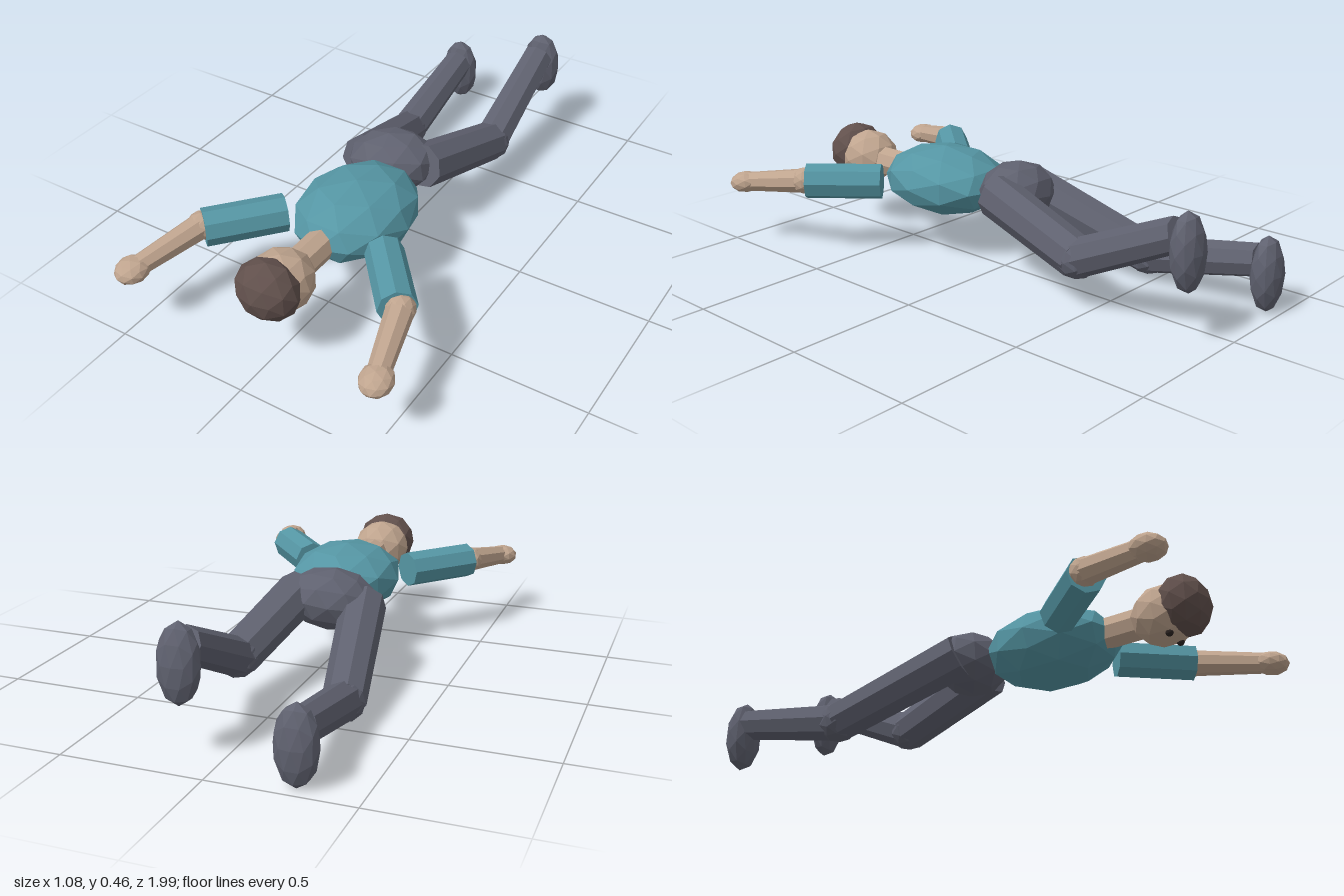
import * as THREE from 'three';

const paint = (name, color) => {
  const m = new THREE.MeshStandardMaterial({ color, flatShading: true });
  m.name = name;
  return m;
};

export function createModel() {
  const teal = paint('teal shirt', 0x5596a4);
  const skin = paint('skin', 0xbfa48e);
  const slate = paint('slate trousers', 0x5f616f);
  const brown = paint('brown hair', 0x61504c);
  const dark = paint('dark eyes', 0x2c2422);

  const root = new THREE.Group();
  root.name = 'lyingFigure';
  const V = (p) => new THREE.Vector3(...p);

  const add = (parent, name, geometry, material) => {
    const mesh = new THREE.Mesh(geometry, material);
    mesh.name = name;
    parent.add(mesh);
    return mesh;
  };

  // Faceted ellipsoid whose long axis of facets follows the body (z)
  const blob = (parent, name, material, pos, radii, rot = [0, 0, 0]) => {
    const g = new THREE.IcosahedronGeometry(1, 1).rotateX(Math.PI / 2).scale(...radii);
    const mesh = add(parent, name, g, material);
    mesh.position.set(...pos);
    mesh.rotation.set(...rot);
    return mesh;
  };

  // Eight-sided tapered cylinder between two points
  const limb = (parent, name, material, from, to, r0, r1) => {
    const a = V(from), b = V(to), dir = b.clone().sub(a);
    const mesh = add(parent, name, new THREE.CylinderGeometry(r1, r0, dir.length(), 8), material);
    mesh.position.copy(a).add(b).multiplyScalar(0.5);
    mesh.quaternion.setFromUnitVectors(new THREE.Vector3(0, 1, 0), dir.normalize());
    return mesh;
  };

  // Trunk
  blob(root, 'torso', teal, [0, 0.285, 0.305], [0.21, 0.13, 0.26]);
  blob(root, 'pelvis', slate, [-0.055, 0.29, -0.015], [0.17, 0.115, 0.135], [0, 0.22, 0.12]);

  // Head, face down
  const head = new THREE.Group();
  head.name = 'head';
  root.add(head);
  limb(head, 'neck', skin, [0, 0.285, 0.5], [0, 0.285, 0.67], 0.057, 0.057);
  blob(head, 'face', skin, [0, 0.288, 0.75], [0.113, 0.108, 0.122]);
  blob(head, 'hair', brown, [0, 0.303, 0.822], [0.118, 0.11, 0.092]);

  for (const s of [1, -1]) {
    const side = s > 0 ? 'left' : 'right';
    blob(head, side + 'Eye', dark, [s * 0.042, 0.196, 0.78], [0.014, 0.014, 0.014]);

    // Arms stretched forward, mirrored
    const arm = new THREE.Group();
    arm.name = side + 'Arm';
    root.add(arm);
    const elbow = [s * 0.402, 0.292, 0.665];
    const wrist = [s * 0.475, 0.254, 0.91];
    limb(arm, 'sleeve', teal, [s * 0.204, 0.288, 0.45], [s * 0.392, 0.288, 0.667], 0.068, 0.068);
    blob(arm, 'elbow', skin, elbow, [0.052, 0.052, 0.052]);
    limb(arm, 'forearm', skin, elbow, wrist, 0.048, 0.038);
    blob(arm, 'hand', skin, [s * 0.483, 0.25, 0.932], [0.058, 0.042, 0.064], [0.14, s * 0.25, 0]);
  }

  // Legs, each in its own pose
  const legs = [
    { side: 'left', hip: [0.07, 0.305, -0.02], knee: [0.13, 0.19, -0.45],
      ankle: [0.125, 0.375, -0.85], foot: [0.125, 0.322, -0.888], tilt: 0.06 },
    { side: 'right', hip: [-0.168, 0.275, 0.01], knee: [-0.265, 0.095, -0.47],
      ankle: [-0.283, 0.185, -0.915], foot: [-0.285, 0.141, -0.945], tilt: 0.04 },
  ];
  for (const { side, hip, knee, ankle, foot, tilt } of legs) {
    const leg = new THREE.Group();
    leg.name = side + 'Leg';
    root.add(leg);
    limb(leg, 'thigh', slate, hip, knee, 0.084, 0.076);
    blob(leg, 'knee', slate, knee, [0.075, 0.075, 0.075]);
    limb(leg, 'shin', slate, knee, ankle, 0.07, 0.06);
    blob(leg, 'foot', slate, foot, [0.076, 0.138, 0.054], [tilt, 0, 0]);
  }

  return root;
}
